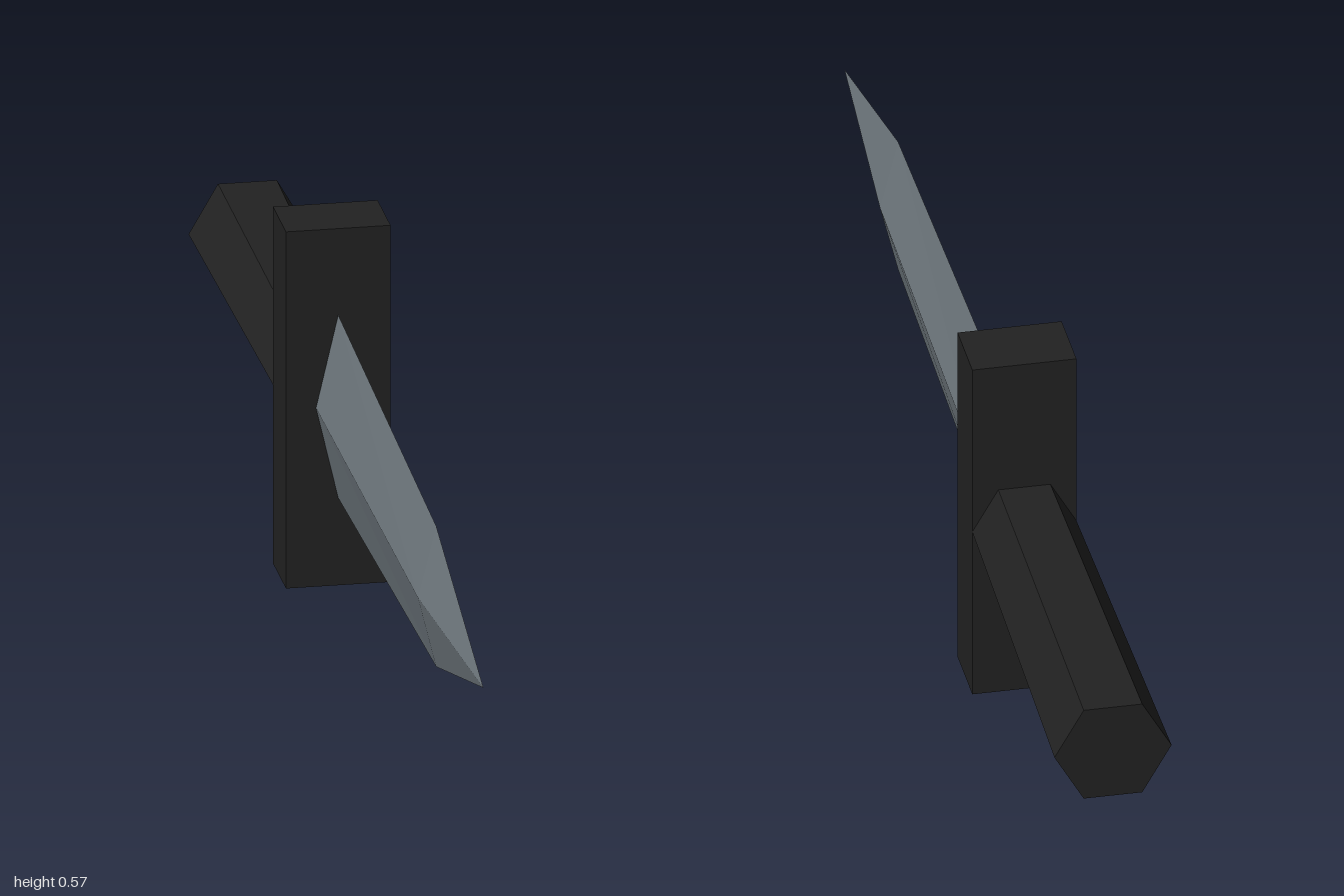
import * as THREE from 'three';

const AXIS_Y = 0.287;

// Diamond cross-sections [z, halfWidth, halfHeight] joined into a faceted blade
function bladeGeometry(sections) {
  const rings = sections.map(([z, w, h]) => [[w, 0, z], [0, h, z], [-w, 0, z], [0, -h, z]]);
  const pos = [];
  for (let s = 0; s < rings.length - 1; s++) {
    for (let i = 0; i < 4; i++) {
      const j = (i + 1) % 4;
      const a = rings[s][i], b = rings[s][j], c = rings[s + 1][j], d = rings[s + 1][i];
      pos.push(...a, ...b, ...c);
      if (s < rings.length - 2) pos.push(...a, ...c, ...d); // last span closes to a point
    }
  }
  // back cap
  const [p, q, r, t] = rings[0];
  pos.push(...p, ...r, ...q, ...p, ...t, ...r);
  const geo = new THREE.BufferGeometry();
  geo.setAttribute('position', new THREE.Float32BufferAttribute(pos, 3));
  geo.computeVertexNormals();
  return geo;
}

export function createModel() {
  const group = new THREE.Group();
  group.name = 'dagger';

  const steel = new THREE.MeshStandardMaterial({ color: 0x70797f, flatShading: true });
  steel.name = 'steel';
  const black = new THREE.MeshStandardMaterial({ color: 0x222222, flatShading: true });
  black.name = 'black';

  const add = (name, geometry, material, y, z) => {
    const mesh = new THREE.Mesh(geometry, material);
    mesh.name = name;
    mesh.position.set(0, y, z);
    group.add(mesh);
  };

  // blade: long taper, then a sharp point
  add('blade', bladeGeometry([[-0.23, 0.034, 0.147], [0.6, 0.028, 0.113], [1, 0, 0]]), steel, AXIS_Y, 0);

  // crossguard block
  add('guard', new THREE.BoxGeometry(0.16, 0.573, 0.11), black, 0.2865, -0.285);

  // six-sided grip, widening toward the back
  const grip = new THREE.CylinderGeometry(0.08, 0.09, 0.66, 6, 1, false, Math.PI / 6);
  grip.rotateX(Math.PI / 2);
  add('grip', grip, black, AXIS_Y, -0.67);

  return group;
}
